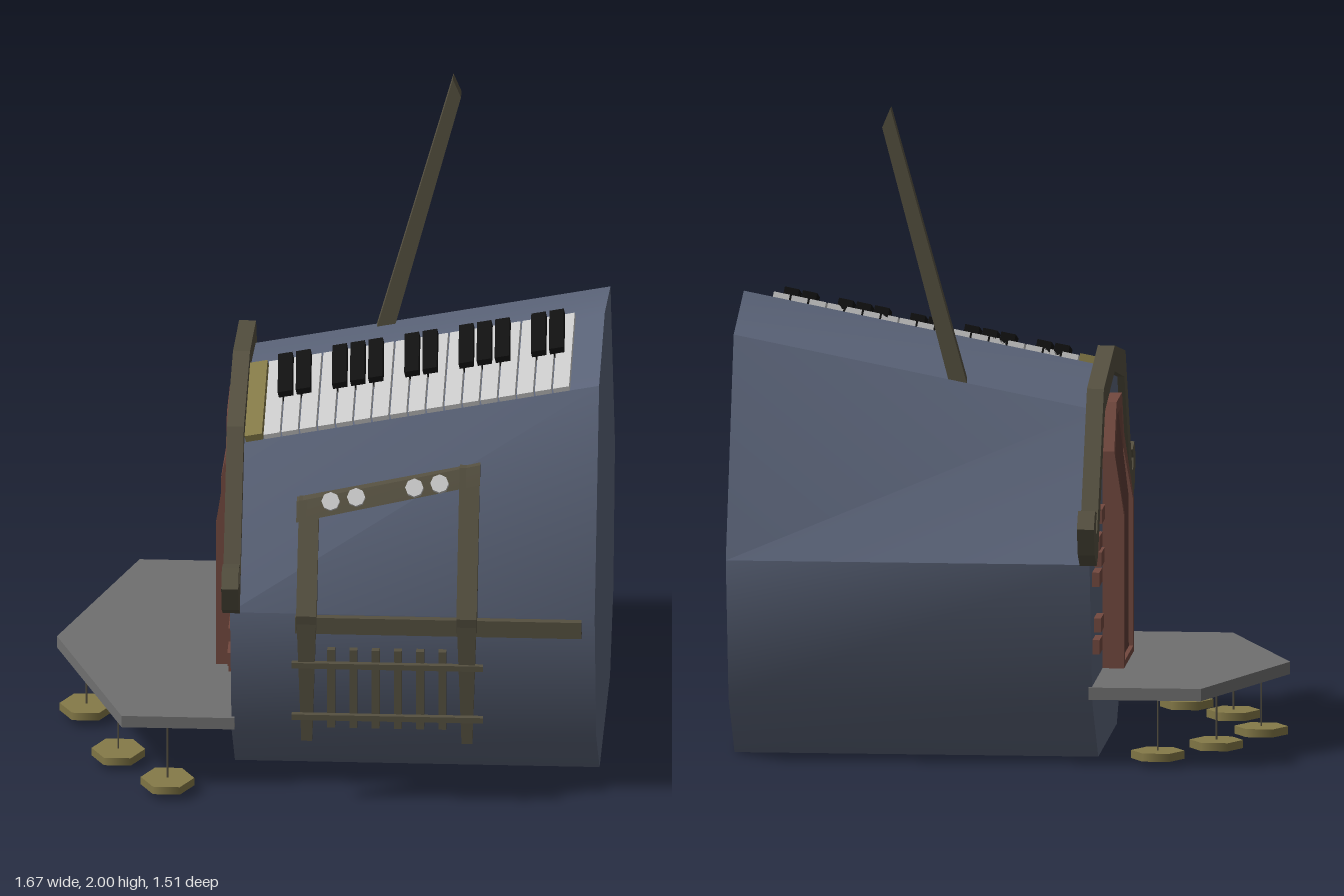
import * as THREE from 'three';
import { toCreasedNormals } from 'three/addons/utils/BufferGeometryUtils.js';

const mat = (color) => new THREE.MeshStandardMaterial({ color });
const M = {
  slate: mat(0x5b6479), wood: mat(0x555040), door: mat(0x5f3d36), trim: mat(0x73493f),
  brass: mat(0x857a48), stone: mat(0x707070), ivory: mat(0xcccccc), ebony: mat(0x111111),
};

const X0 = -0.28, X1 = 0.835;
// roof height rises along x; z position of the sloping front wall
const rise = (x) => (x - X0) * 0.197;
const wallZ = (x, y) => 0.65 - (0.29 * (y - 0.64)) / (0.43 + rise(x));

export function createModel() {
  const root = new THREE.Group();

  const add = (name, geo, material, parent = root) => {
    const mesh = new THREE.Mesh(geo, material);
    mesh.name = name;
    parent.add(mesh);
    return mesh;
  };
  const group = (name) => {
    const g = new THREE.Group();
    g.name = name;
    root.add(g);
    return g;
  };
  const box = (name, x0, x1, y0, y1, z0, z1, material, parent) => add(name,
    new THREE.BoxGeometry(x1 - x0, y1 - y0, z1 - z0)
      .translate((x0 + x1) / 2, (y0 + y1) / 2, (z0 + z1) / 2), material, parent);
  const shapeOf = (pts) => new THREE.Shape(pts.map(([a, b]) => new THREE.Vector2(a, b)));
  const extrude = (shape, depth) => new THREE.ExtrudeGeometry(shape, { depth, bevelEnabled: false });
  // outline in (z, y), thickness along x
  const extrudeX = (shape, x0, x1) => extrude(shape, x1 - x0).rotateY(-Math.PI / 2).translate(x1, 0, 0);
  const mirrored = (half) => half.concat(half.slice(1, -1).reverse().map(([z, y]) => [-z, y]));
  const reshape = (geo, rule) => {
    const p = geo.attributes.position, v = new THREE.Vector3();
    for (let i = 0; i < p.count; i++) {
      rule(v.fromBufferAttribute(p, i));
      p.setXYZ(i, v.x, v.y, v.z);
    }
    geo.computeVertexNormals();
    return geo;
  };

  // nine-sided body whose roof climbs toward +x
  const ring = (x) => {
    const r = rise(x);
    return [[0, 1.155 + r], [0.365, 1.075 + r], [0.65, 0.64], [0.55, 0.2], [0.335, 0],
      [-0.335, 0], [-0.55, 0.2], [-0.65, 0.64], [-0.365, 1.075 + r]].map(([z, y]) => [x, y, z]);
  };
  const a = ring(X0), b = ring(X1), tris = [];
  for (let i = 0; i < 9; i++) {
    const j = (i + 1) % 9;
    tris.push(a[j], b[j], b[i], a[j], b[i], a[i]);
    if (i > 0 && i < 8) tris.push(a[0], a[j], a[i], b[0], b[i], b[j]);
  }
  const bodyGeo = new THREE.BufferGeometry();
  bodyGeo.setAttribute('position', new THREE.Float32BufferAttribute(tris.flat(), 3));
  add('body', toCreasedNormals(bodyGeo, 0.7), M.slate);

  // roof-edge arch with curled hooks
  add('hookedArch', extrudeX(shapeOf(mirrored([
    [0, 1.22], [0.39, 1.145], [0.635, 0.735], [0.667, 0.74], [0.68, 0.77], [0.645, 0.8],
    [0.71, 0.816], [0.755, 0.765], [0.72, 0.68], [0.65, 0.637], [0.6, 0.66], [0.35, 1.07], [0, 1.14],
  ])), -0.302, -0.25), M.wood);

  // leaning mast on the rear roof edge
  add('mast', extrude(shapeOf([[0.1, 1.08], [0.155, 1.08], [0.38, 1.94], [0.355, 2]]), 0.045)
    .translate(0, 0, -0.365), M.wood);

  // keyboard laid on the front roof slope, sheared to follow it
  const keys = group('keyboard');
  const key = (name, x0, x1, z1, h, material, skew = 0) => {
    const geo = new THREE.BoxGeometry(x1 - x0, h + 0.01, z1)
      .translate((x0 + x1) / 2 - X0, (h - 0.01) / 2, z1 / 2);
    geo.applyMatrix4(new THREE.Matrix4().makeBasis(
      new THREE.Vector3(1, 0.197, 0), new THREE.Vector3(-0.19, 1, 0.21),
      new THREE.Vector3(skew, -0.22, 1)).setPosition(X0, 1.155, 0));
    add(name, geo, material, keys);
  };
  const KW = 0.0553;
  key('keyboardEnd', -0.245, -0.192, 0.365, 0.022, M.brass);
  for (let i = 0; i < 17; i++) {
    const x = -0.188 + i * KW;
    key('whiteKey', x, x + KW - 0.006, 0.365, 0.016, M.ivory);
    if (i < 16 && ![2, 6].includes(i % 7)) {
      key('blackKey', x + KW - 0.024, x + KW + 0.02, 0.19, 0.037, M.ebony, 0.04);
    }
  }

  // front window frame: bent posts with tapering legs, and a slanted beam
  const frame = group('windowFrame');
  for (const [x, top] of [[-0.045, 0.955], [0.445, 1.065]]) {
    const zt = wallZ(x, top);
    add('framePost', extrudeX(shapeOf([[zt - 0.02, top], [zt + 0.05, top], [0.693, 0.65],
      [0.685, 0.6], [0.62, 0.64]]), x - 0.031, x + 0.031), M.wood, frame);
    const leg = new THREE.BoxGeometry(0.06, 0.42, 0.035);
    add('frameLeg', reshape(leg, (v) => {
      if (v.y < 0) { v.x *= 0.55; v.z = v.z * 0.7 - 0.02; }
      v.x += x; v.y += 0.43; v.z += 0.672;
    }), M.wood, frame);
  }
  add('frameBeam', reshape(new THREE.BoxGeometry(0.56, 0.055, 0.08), (v) => {
    v.x += 0.197;
    v.y += 0.985 + (v.x - 0.197) * 0.22;
    v.z += wallZ(v.x, v.y) + 0.01;
  }), M.wood, frame);
  for (const x of [0.022, 0.1, 0.278, 0.355]) {
    add('knob', new THREE.CylinderGeometry(0.028, 0.028, 0.04, 8).rotateX(Math.PI / 2 - 0.55)
      .translate(x, 0.958 + (x - 0.022) * 0.2, 0.52), M.ivory, frame);
  }

  // ledge and balcony railing
  box('ledge', -0.08, 0.795, 0.583, 0.637, 0.635, 0.672, M.wood);
  const rail = group('railing');
  for (const y of [0.31, 0.483]) box('rail', -0.09, 0.495, y - 0.009, y + 0.009, 0.672, 0.69, M.wood, rail);
  for (let i = 0; i < 6; i++) {
    const x = 0.03 + i * 0.068;
    box('baluster', x - 0.012, x + 0.012, 0.27, 0.53, 0.65, 0.673, M.wood, rail);
  }

  // arched door on the -x wall; its surround thins out toward the top
  const doorway = (w, top, base) => [[-w, base], [w, base], [w, 0.72], [w, top - 0.14],
    [w * 0.55, top], [-w * 0.55, top], [-w, top - 0.14], [-w, 0.72]];
  const surround = shapeOf(doorway(0.18, 1.06, 0.25));
  surround.holes.push(shapeOf(doorway(0.15, 1.02, 0.27)));
  const thin = (geo) => reshape(geo, (v) => {
    if (v.x < -0.3 && v.y > 0.8) v.x += 0.03;
  });
  add('doorSurround', thin(extrudeX(surround, -0.346, -0.27)), M.trim);
  add('door', thin(extrudeX(shapeOf(doorway(0.155, 1.025, 0.26)), -0.333, -0.27)), M.door);

  // scattered wall bricks
  const bricks = group('bricks');
  for (const [z, y] of [[-0.4, 0.76], [-0.49, 0.69], [-0.42, 0.63], [-0.5, 0.58], [-0.44, 0.43],
    [-0.49, 0.37], [0.25, 0.88], [0.32, 0.83], [0.24, 0.4], [0.31, 0.35], [0.24, 0.3]]) {
    box('brick', -0.302, -0.27, y - 0.022, y + 0.022, z - 0.055, z + 0.055, M.trim, bricks);
  }

  // porch slab on thin stems with hexagonal feet
  add('porch', extrude(shapeOf([[-0.27, -0.575], [-0.27, 0.575], [-0.615, 0.575], [-0.84, 0], [-0.615, -0.575]]), 0.038)
    .rotateX(-Math.PI / 2).translate(0, 0.212, 0), M.stone);
  const feet = group('porchSupports');
  for (const [x, z] of [[-0.475, 0.57], [-0.635, 0.365], [-0.748, 0.04], [-0.635, -0.25], [-0.475, -0.48]]) {
    add('foot', new THREE.CylinderGeometry(0.082, 0.082, 0.025, 6).rotateY(Math.PI / 2)
      .translate(x, 0.032, z), M.brass, feet);
    add('stem', new THREE.CylinderGeometry(0.003, 0.003, 0.19, 6).translate(x, 0.125, z), M.wood, feet);
  }
  return root;
}
